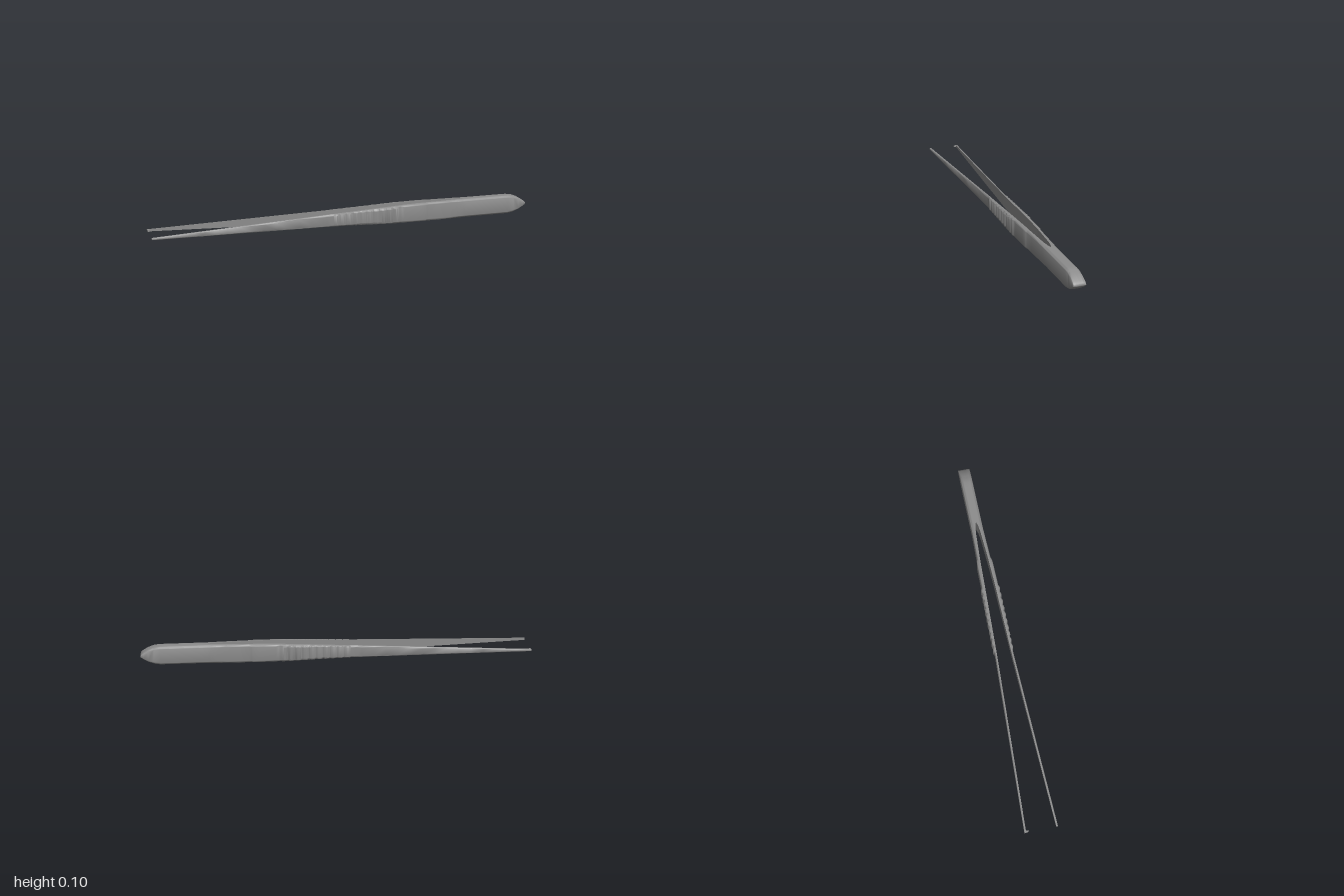
import * as THREE from 'three';
import { toCreasedNormals } from 'three/addons/utils/BufferGeometryUtils.js';

// Profiles along the length: [x, value]
const TOP = [[-1, 0.044], [0, 0.083], [0.3, 0.096], [0.4, 0.098], [0.9, 0.098], [0.93, 0.095], [0.96, 0.084], [0.985, 0.069], [0.996, 0.06], [1, 0.053]];
const BOTTOM = [[-1, 0.034], [0, 0.014], [0.25, 0.004], [0.5, 0], [0.9, 0.001], [0.93, 0.006], [0.96, 0.018], [0.985, 0.034], [0.996, 0.044], [1, 0.05]];
const OUTER = [[-1, 0.084], [-0.08, 0.047], [0.3, 0.044], [0.43, 0.042], [0.45, 0.036], [0.62, 0.031], [1, 0.031]];
const INNER = [[-1, 0.075], [-0.08, 0.037], [0.3, 0.026], [0.44, 0.021], [0.6, 0.012], [0.64, 0.007], [0.66, 0], [1, 0]];
const CENTRE = [[-1, 0], [-0.1, 0.007], [0.3, 0.01], [1, 0.01]];
const GRIP_START = -0.07, GRIP_END = 0.29, RIDGES = 10;

function sample(profile, x) {
  for (let i = 1; i < profile.length; i++) {
    const [x0, v0] = profile[i - 1], [x1, v1] = profile[i];
    if (x <= x1) return v0 + (v1 - v0) * (x - x0) / (x1 - x0);
  }
  return profile[profile.length - 1][1];
}

// Stations: every profile knot, plus fine steps through the grip
function stations() {
  const xs = new Set([TOP, BOTTOM, OUTER, INNER, CENTRE].flatMap(p => p.map(k => k[0])));
  for (let i = -16; i < 16; i++) xs.add(i / 16);
  const steps = RIDGES * 8;
  for (let i = 0; i <= steps; i++) xs.add(GRIP_START + (GRIP_END - GRIP_START) * i / steps);
  return [...xs].sort((a, b) => a - b);
}

// D-shaped section: flat inside, rounded outer edges, as [z, y]
function section(x, side) {
  const y0 = sample(BOTTOM, x), y1 = sample(TOP, x), c = sample(CENTRE, x);
  const zi = sample(INNER, x);
  let zo = sample(OUTER, x);
  if (x > GRIP_START && x < GRIP_END) {
    zo += 0.006 * Math.abs(Math.sin(Math.PI * RIDGES * (x - GRIP_START) / (GRIP_END - GRIP_START)));
  }
  const ry = (y1 - y0) * 0.16, rz = (zo - zi) * 0.45, n = 5;
  const pts = [[zi, y0]];
  for (let k = 0; k <= n; k++) {
    const a = k / n * Math.PI / 2;
    pts.push([zo - rz + rz * Math.sin(a), y0 + ry - ry * Math.cos(a)]);
  }
  for (let k = n; k >= 0; k--) {
    const a = k / n * Math.PI / 2;
    pts.push([zo - rz + rz * Math.sin(a), y1 - ry + ry * Math.cos(a)]);
  }
  pts.push([zi, y1]);
  return pts.map(([z, y]) => [c + side * z, y]);
}

function armGeometry(side) {
  const xs = stations(), pos = [], idx = [];
  const tri = (a, b, c) => (side > 0 ? idx.push(a, b, c) : idx.push(a, c, b));
  let n = 0;
  for (const x of xs) {
    const ring = section(x, side);
    n = ring.length;
    for (const [z, y] of ring) pos.push(x, y, z);
  }
  for (let i = 0; i < xs.length - 1; i++) {
    for (let j = 0; j < n; j++) {
      const a = i * n + j, b = i * n + (j + 1) % n;
      tri(a, a + n, b);
      tri(b, a + n, b + n);
    }
  }
  // End caps
  const last = (xs.length - 1) * n;
  for (let j = 1; j < n - 1; j++) {
    tri(0, j, j + 1);
    tri(last, last + j + 1, last + j);
  }
  const g = new THREE.BufferGeometry();
  g.setAttribute('position', new THREE.Float32BufferAttribute(pos, 3));
  g.setIndex(idx);
  return toCreasedNormals(g, 0.85);
}

export function createModel() {
  const group = new THREE.Group();
  group.name = 'tweezers';
  const material = new THREE.MeshStandardMaterial({ color: 0x8c8c8c });
  const add = (name, geometry) => {
    const mesh = new THREE.Mesh(geometry, material);
    mesh.name = name;
    group.add(mesh);
    return mesh;
  };

  // Two sprung arms, joined flat to flat at the butt
  add('frontArm', armGeometry(1));
  add('backArm', armGeometry(-1));

  // Small tapered tooth turned inward at the back tip
  const tooth = new THREE.CylinderGeometry(0.005, 0.008, 0.018, 4);
  tooth.rotateY(Math.PI / 4).rotateX(Math.PI / 2);
  const hook = add('tipTooth', toCreasedNormals(tooth, 0.5));
  hook.position.set(-0.9943, 0.039, -0.071);

  return group;
}
